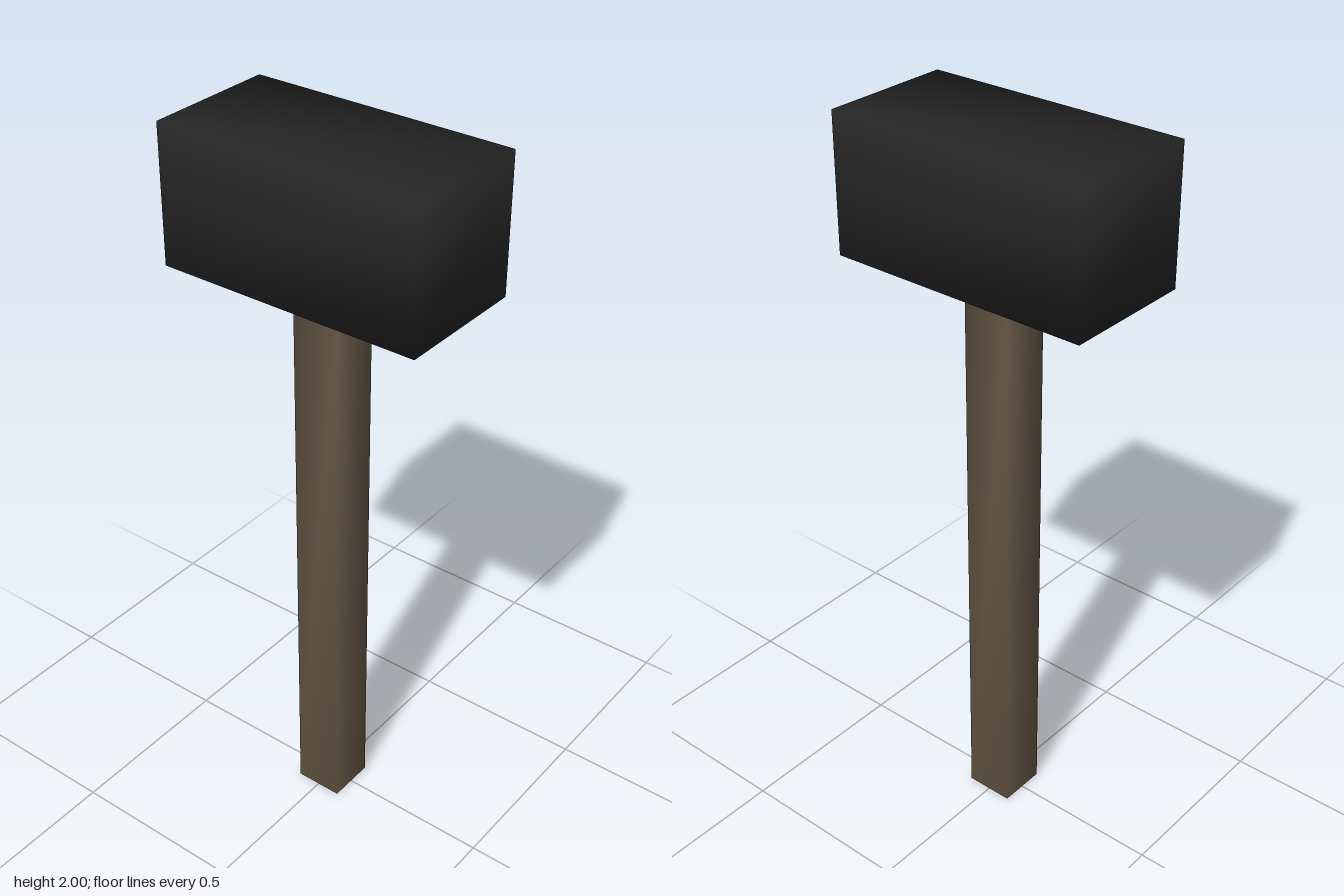
import * as THREE from 'three';
import { mergeVertices } from 'three/addons/utils/BufferGeometryUtils.js';

// A box whose corners share normals, so its shading runs smoothly over the edges.
function smoothBox(name, width, height, depth, centreY, material) {
  const box = new THREE.BoxGeometry(width, height, depth);
  box.deleteAttribute('normal');
  box.deleteAttribute('uv');
  const geometry = mergeVertices(box);
  geometry.computeVertexNormals();
  const mesh = new THREE.Mesh(geometry, material);
  mesh.name = name;
  mesh.position.y = centreY;
  return mesh;
}

export function createModel() {
  const iron = new THREE.MeshStandardMaterial({ color: 0x262626 });
  iron.name = 'dark iron';
  const wood = new THREE.MeshStandardMaterial({ color: 0x665645 });
  wood.name = 'brown wood';

  const hammer = new THREE.Group();
  hammer.name = 'hammer';
  hammer.add(
    // Square shaft, ending at the underside of the head
    smoothBox('handle', 0.136, 1.63, 0.136, 0.815, wood),
    // Block twice as wide as it is tall and deep
    smoothBox('head', 0.742, 0.371, 0.371, 1.8145, iron)
  );
  return hammer;
}
